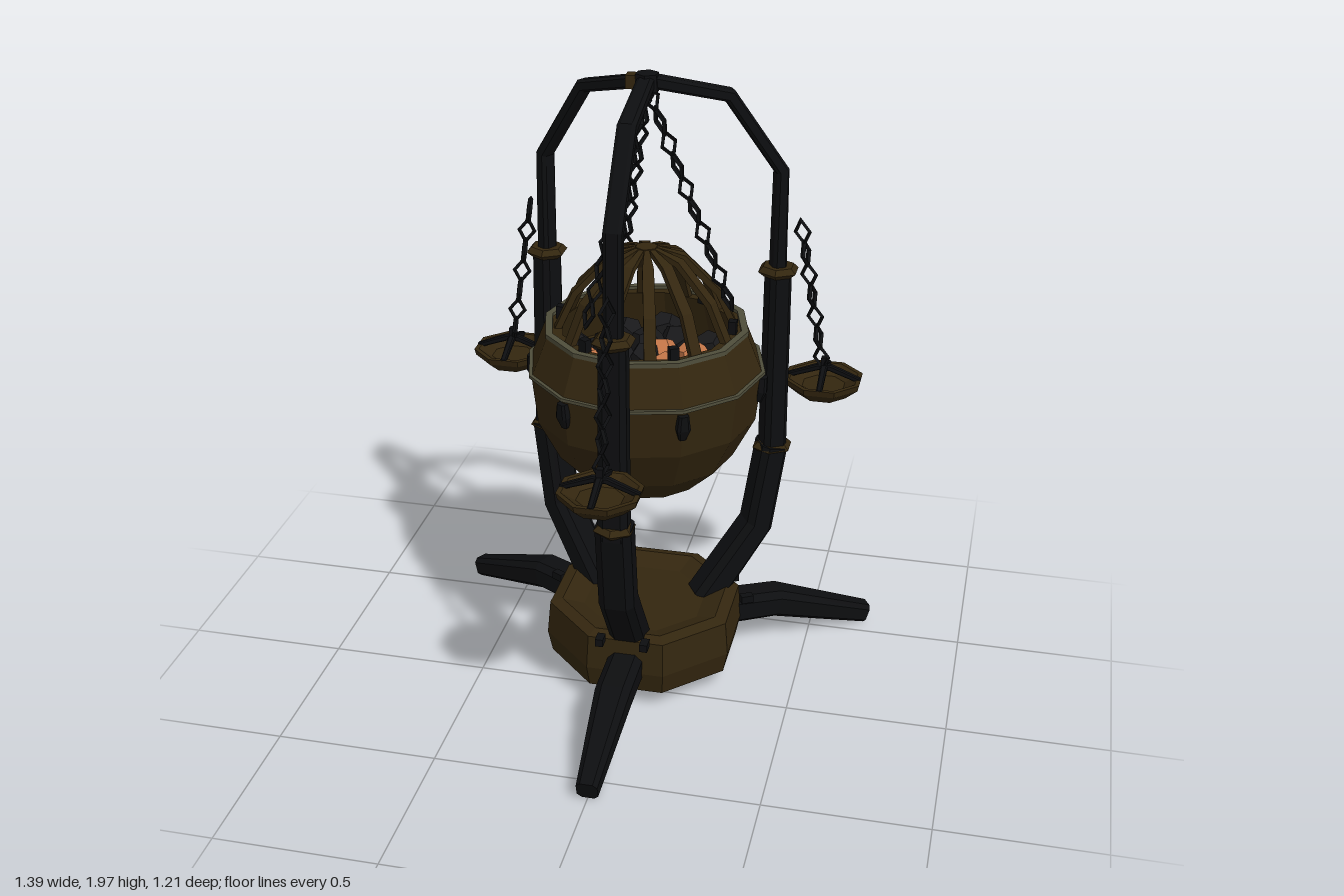
import * as THREE from 'three';

const mat = (name, color, side = THREE.FrontSide) => {
  const m = new THREE.MeshStandardMaterial({ color, side });
  m.name = name;
  return m;
};

export function createModel() {
  const iron = mat('black iron', 0x0d0e10);
  const bronze = mat('dark bronze', 0x33260f);
  const trim = mat('worn trim', 0x4f4d3a);
  const coal = mat('coal', 0x18181a);
  const ember = mat('ember', 0xc47648);
  const CZ = -0.19; // the stand's axis

  const model = new THREE.Group();
  model.name = 'hangingBrazier';
  const stand = new THREE.Group();
  stand.name = 'stand';
  stand.position.z = CZ;
  model.add(stand);

  // faceted mesh helper
  const add = (parent, name, geo, material, x = 0, y = 0, z = 0) => {
    const g = geo.index ? geo.toNonIndexed() : geo;
    g.computeVertexNormals();
    const mesh = new THREE.Mesh(g, material);
    mesh.name = name;
    mesh.position.set(x, y, z);
    parent.add(mesh);
    return mesh;
  };
  const lathe = (pts, sides) =>
    new THREE.LatheGeometry(pts.map(p => new THREE.Vector2(p[0], p[1])), sides);

  // chamfered bar through sections [radius, height, width, thickness] in the z-y plane
  const bar = (secs, bevel = 0.6) => {
    const outline = [[1, -bevel], [1, bevel], [bevel, 1], [-bevel, 1],
      [-1, bevel], [-1, -bevel], [-bevel, -1], [bevel, -1]];
    const n = outline.length, pos = [], idx = [];
    secs.forEach(([r, y, w, t], k) => {
      const a = secs[Math.max(k - 1, 0)], b = secs[Math.min(k + 1, secs.length - 1)];
      const len = Math.hypot(b[0] - a[0], b[1] - a[1]);
      const tz = (b[0] - a[0]) / len, ty = (b[1] - a[1]) / len;
      for (const [u, v] of outline)
        pos.push(u * w / 2, y + tz * v * t / 2, r - ty * v * t / 2);
    });
    for (let k = 0; k < secs.length - 1; k++)
      for (let i = 0; i < n; i++) {
        const j = (i + 1) % n, p = k * n, q = p + n;
        idx.push(p + i, p + j, q + j, p + i, q + j, q + i);
      }
    const e = (secs.length - 1) * n;
    for (let i = 1; i < n - 1; i++) idx.push(0, i + 1, i, e, e + i, e + i + 1);
    const g = new THREE.BufferGeometry();
    g.setAttribute('position', new THREE.Float32BufferAttribute(pos, 3));
    g.setIndex(idx);
    return g;
  };

  // chain of diamond links, each turned a quarter from the last
  const linkGeo = new THREE.TorusGeometry(0.03, 0.008, 4, 4);
  linkGeo.scale(0.8, 1.3, 1);
  const chain = (parent, name, from, to, count) => {
    const g = new THREE.Group();
    g.name = name;
    const a = new THREE.Vector3(...from), b = new THREE.Vector3(...to);
    const q = new THREE.Quaternion().setFromUnitVectors(
      new THREE.Vector3(0, 1, 0), a.clone().sub(b).normalize());
    for (let i = 0; i < count; i++) {
      const link = add(g, 'link', linkGeo, iron);
      link.position.lerpVectors(a, b, (i + 0.5) / count);
      link.quaternion.copy(q);
      link.rotateY(Math.PI / 4 + i * Math.PI / 2);
    }
    parent.add(g);
  };

  // heavy base block
  const base = add(stand, 'base', lathe([[0, 0.025], [0.22, 0.025], [0.305, 0.07], [0.32, 0.14],
    [0.31, 0.25], [0.27, 0.26], [0.2, 0.235], [0, 0.235]], 8), bronze);
  base.rotation.y = Math.PI / 8;

  // three sides: foot, arm, collars, hanging pan
  [0, 1, 2].forEach(s => {
    const theta = s * Math.PI * 2 / 3;
    const side = new THREE.Group();
    side.name = 'armGroup';
    side.rotation.y = theta;
    stand.add(side);

    add(side, 'foot', bar([[0.27, 0.155, 0.11, 0.1], [0.45, 0.15, 0.11, 0.095],
      [0.78, 0.042, 0.065, 0.065]]), iron);
    add(side, 'lowerArm', bar([[0.2, 0.21, 0.11, 0.1], [0.375, 0.46, 0.11, 0.09],
      [0.42, 0.74, 0.11, 0.085]]), iron);
    add(side, 'middleArm', bar([[0.422, 0.7, 0.09, 0.075], [0.422, 1.34, 0.08, 0.07]]), iron);
    add(side, 'upperArm', bar([[0.42, 1.32, 0.055, 0.045], [0.42, 1.65, 0.055, 0.04],
      [0.25, 1.895, 0.055, 0.04], [0, 1.96, 0.05, 0.04]]), iron);
    for (const y of [0.73, 1.33])
      add(side, 'collar', lathe([[0, -0.018], [0.045, -0.018], [0.066, 0], [0.05, 0.016],
        [0, 0.016]], 6), bronze, 0, y, 0.422);
    for (const x of [-0.07, 0.07])
      add(side, 'bolt', new THREE.BoxGeometry(0.025, 0.025, 0.04), iron,
        x, s ? 0.215 : 0.268, 0.325);

    chain(side, 'panChain', [0, 1.48, 0.49], [0, 0.98, 0.585], 7);
    const pan = new THREE.Group();
    pan.name = 'pan';
    pan.position.set(0, 0.94, 0.59);
    pan.rotation.y = -theta;
    side.add(pan);
    const bowl = add(pan, 'panBowl', lathe([[0, -0.048], [0.08, -0.048], [0.122, -0.012],
      [0.127, 0.008], [0.112, 0.008], [0.07, -0.02], [0, -0.02]], 8), bronze);
    bowl.rotation.y = Math.PI / 8;
    for (let i = 0; i < 2; i++) {
      const spider = add(pan, 'panCross', bar([[-0.115, 0.004, 0.018, 0.016],
        [-0.02, 0.04, 0.022, 0.02], [0.02, 0.04, 0.022, 0.02], [0.115, 0.004, 0.018, 0.016]]), iron);
      spider.rotation.y = i * Math.PI / 2;
    }
    add(pan, 'panHook', new THREE.BoxGeometry(0.02, 0.04, 0.02), iron, 0, 0.055, 0);
  });

  // crown where the arms meet
  add(stand, 'crown', new THREE.CylinderGeometry(0.035, 0.04, 0.05, 6), iron, 0, 1.955, 0);
  add(stand, 'crownPin', new THREE.BoxGeometry(0.03, 0.04, 0.04), bronze, -0.045, 1.955, 0);

  // fire bowl with trim rings
  add(stand, 'fireBowl', lathe([[0, 0.7], [0.18, 0.7], [0.275, 0.79], [0.342, 0.92], [0.36, 1.075],
    [0.31, 1.2], [0.26, 1.2], [0.3, 1.06], [0.24, 0.98], [0, 0.98]], 12), bronze);
  const ring = (name, r, y, w, h) => add(stand, name, lathe([[r - w, y - h], [r, y - h], [r, y + h],
    [r - w, y + h], [r - w, y - h]], 12), trim);
  ring('waistRing', 0.368, 1.078, 0.035, 0.005);
  ring('lipRing', 0.314, 1.203, 0.022, 0.007);

  // lugs around the bowl
  for (let i = 0; i < 6; i++) {
    const g = new THREE.Group();
    g.name = 'lugGroup';
    g.rotation.y = Math.PI / 6 + i * Math.PI / 3;
    stand.add(g);
    add(g, 'lug', bar([[0.35, 0.985, 0.022, 0.02], [0.36, 1.02, 0.042, 0.03],
      [0.36, 1.065, 0.03, 0.03]]), iron);
    add(g, 'lipLug', new THREE.BoxGeometry(0.028, 0.05, 0.025), iron, 0, 1.215, 0.265);
  }

  // domed cage
  for (let i = 0; i < 12; i++) {
    const rib = add(stand, 'cageRib', bar([[0.27, 1.19, 0.036, 0.02], [0.215, 1.31, 0.036, 0.02],
      [0.11, 1.42, 0.034, 0.02], [0.03, 1.445, 0.016, 0.016]], 0.95), bronze);
    rib.rotation.y = (i + 0.5) * Math.PI / 6;
  }
  add(stand, 'cageHub', new THREE.CylinderGeometry(0.035, 0.04, 0.02, 6), bronze, 0, 1.445, 0);

  // coals and embers
  add(stand, 'coalBed', new THREE.CylinderGeometry(0.285, 0.27, 0.04, 12), coal, 0, 1.04, 0);
  for (let i = 0; i < 18; i++) {
    const a = i * 2.4, r = 0.058 * Math.sqrt(i);
    const glowing = [1, 3, 5, 6, 10].includes(i);
    const lump = add(stand, glowing ? 'ember' : 'coalLump', new THREE.DodecahedronGeometry(0.058, 0),
      glowing ? ember : coal, r * Math.sin(a), 1.085, r * Math.cos(a));
    lump.rotation.set(i, i * 1.7, i * 0.6);
  }

  // three chains carrying the bowl
  for (let i = 0; i < 3; i++) {
    const a = Math.PI / 2 + i * Math.PI * 2 / 3;
    chain(stand, 'bowlChain', [0, 1.94, 0], [0.26 * Math.sin(a), 1.28, 0.26 * Math.cos(a)], 10);
  }
  return model;
}
